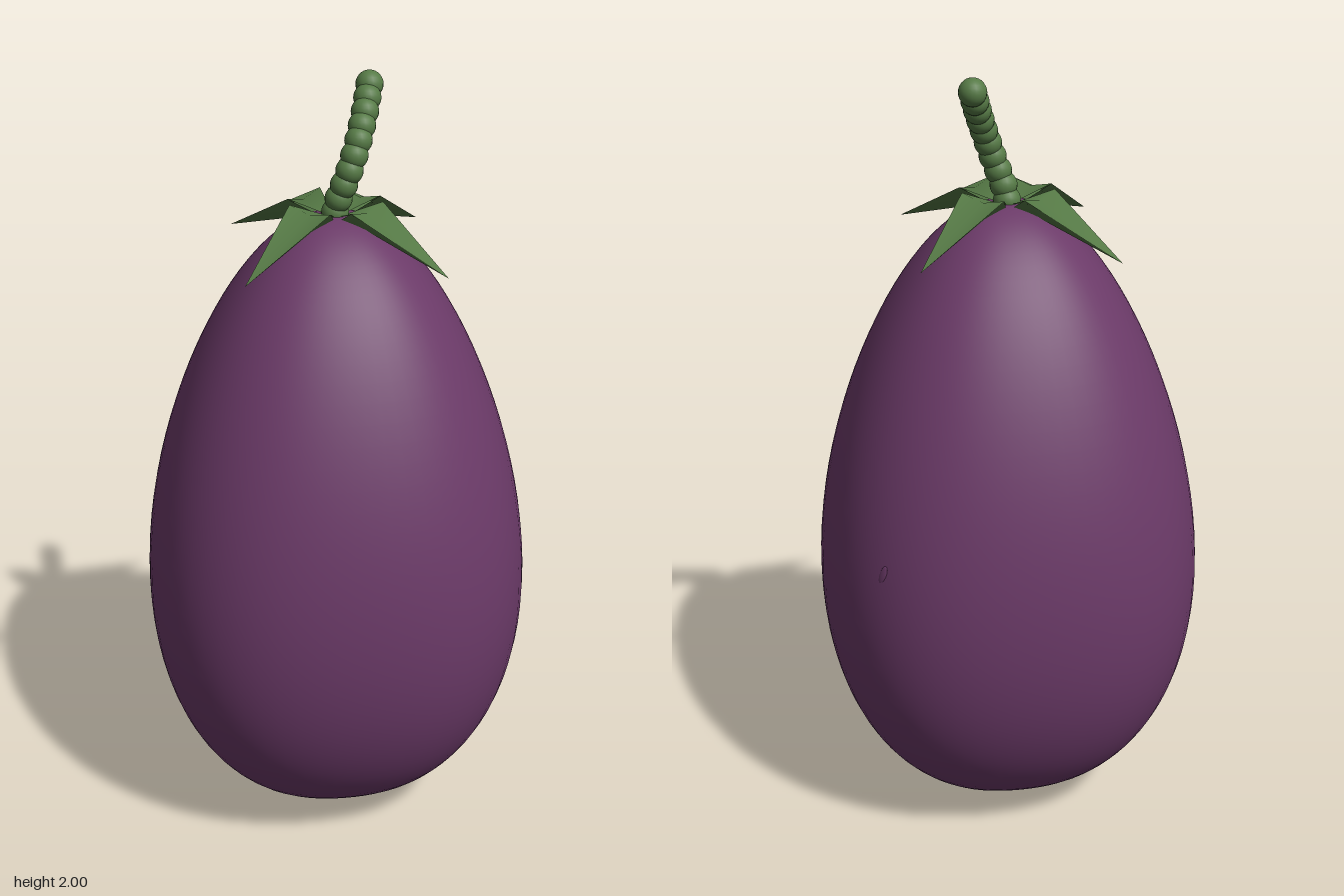
import * as THREE from 'three';
import { mergeVertices } from 'three/addons/utils/BufferGeometryUtils.js';

export function createModel() {
  const skin = new THREE.MeshStandardMaterial({ color: 0x6b3a68 });
  skin.name = 'purple skin';
  const green = new THREE.MeshStandardMaterial({ color: 0x567a46, side: THREE.DoubleSide });
  green.name = 'stalk green';

  const model = new THREE.Group();
  model.name = 'eggplant';
  const add = (geometry, material, name, parent = model) => {
    const mesh = new THREE.Mesh(geometry, material);
    mesh.name = name;
    parent.add(mesh);
    return mesh;
  };

  // Body: tapered ball profile, turned and then gently squared off on the diagonals
  const profile = [];
  const rings = 48, half = 0.835;
  for (let i = 0; i <= rings; i++) {
    const a = Math.PI * i / rings, up = -Math.cos(a);
    const r = i % rings ? Math.sin(a) * (0.523 - 0.113 * up) : 0;
    profile.push(new THREE.Vector2(r, half + half * up));
  }
  let body = new THREE.LatheGeometry(profile, 64);
  const pos = body.attributes.position;
  for (let i = 0; i < pos.count; i++) {
    const x = pos.getX(i), z = pos.getZ(i);
    const lobe = 0.975 + 0.025 * Math.cos(4 * Math.atan2(z, x));
    pos.setX(i, x * lobe);
    pos.setZ(i, z * lobe * 0.982);
  }
  body.deleteAttribute('uv');
  body.deleteAttribute('normal');
  body = mergeVertices(body, 1e-5);
  body.computeVertexNormals();
  add(body, skin, 'body');

  // Small blemish on the left flank
  const blemish = add(new THREE.SphereGeometry(1, 12, 8), skin, 'blemish');
  blemish.scale.set(0.004, 0.028, 0.01);
  blemish.position.set(0.522, 0.835, -0.003);
  blemish.rotation.set(-0.35, 0, 0.06);

  // Calyx: four folded leaves, each with an upper and a lower sheet meeting at the edges
  const leafSheet = (midribY, rootY) => {
    const sheet = new THREE.BufferGeometry();
    sheet.setAttribute('position', new THREE.Float32BufferAttribute([
      0.0, rootY, 0, // root
      0.1, midribY, 0, // midrib
      0.348, 1.57, 0, // tip
      0.1, 1.7, 0.065, // front edge
      0.1, 1.7, -0.065, // back edge
    ], 3));
    sheet.setIndex([0, 3, 1, 1, 3, 2, 0, 1, 4, 1, 2, 4]);
    sheet.computeVertexNormals();
    return sheet;
  };
  const upper = leafSheet(1.685, 1.655), lower = leafSheet(1.64, 1.64);
  const calyx = new THREE.Group();
  calyx.name = 'calyx';
  model.add(calyx);
  for (let i = 0; i < 4; i++) {
    const leaf = new THREE.Group();
    leaf.name = 'leaf';
    leaf.rotation.y = i * Math.PI / 2;
    add(upper, green, 'leafTop', leaf);
    add(lower, green, 'leafUnderside', leaf);
    calyx.add(leaf);
  }

  // Stem: beads along a curved path
  const path = new THREE.CatmullRomCurve3([
    [0, 1.67, 0], [0, 1.71, 0.012], [0.01, 1.77, 0.033], [0.035, 1.835, 0.04],
    [0.085, 1.905, 0.025], [0.138, 1.965, 0],
  ].map(p => new THREE.Vector3(...p)));
  const stem = new THREE.Group();
  stem.name = 'stem';
  model.add(stem);
  const bead = new THREE.SphereGeometry(0.035, 20, 14);
  const beads = 10;
  for (let i = 0; i < beads; i++) {
    add(bead, green, 'stemBead', stem).position.copy(path.getPointAt(i / (beads - 1)));
  }
  return model;
}
